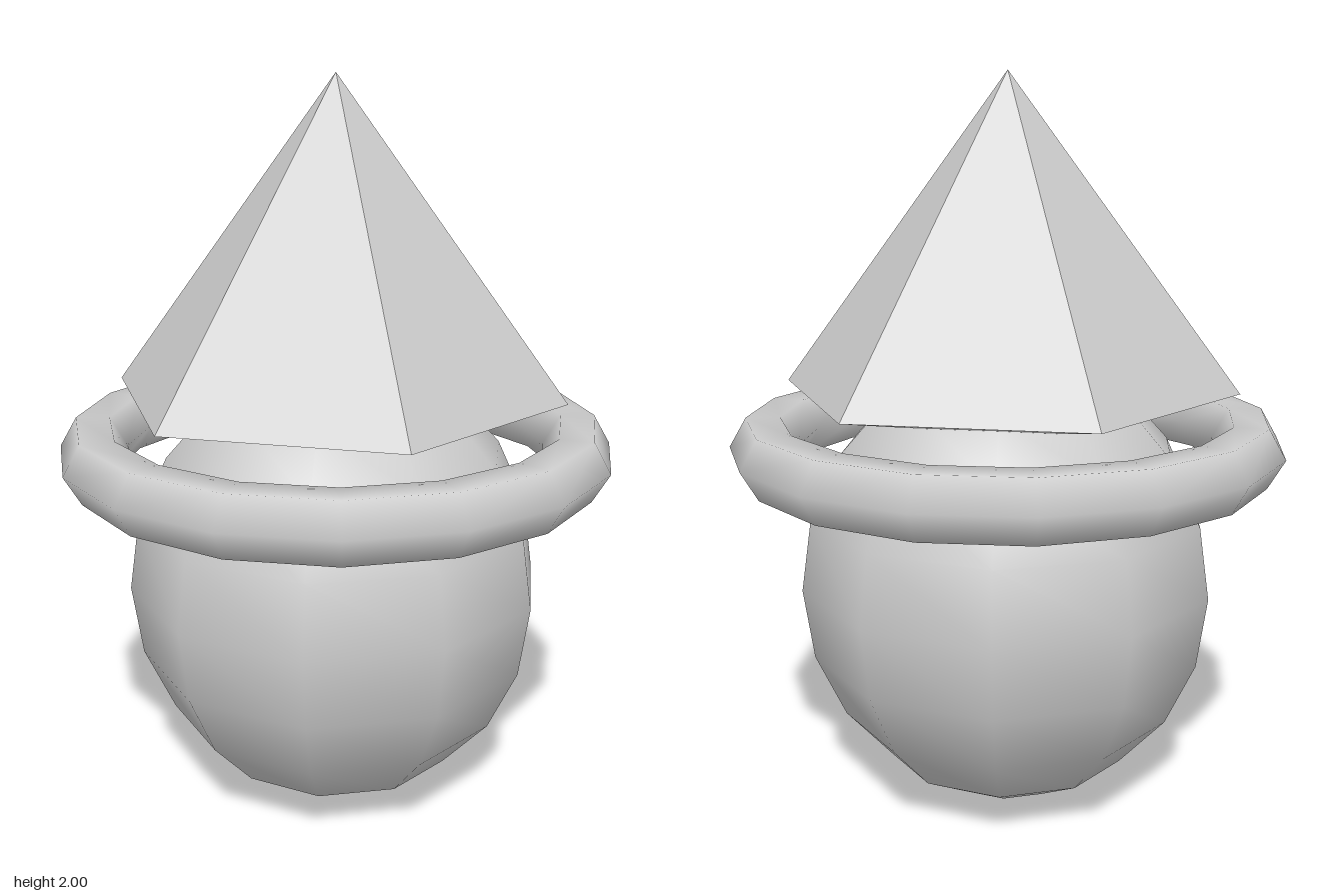
import * as THREE from 'three';

export function createModel() {
  const model = new THREE.Group();
  const smoothGrey = new THREE.MeshStandardMaterial({ color: 0xcccccc });
  smoothGrey.name = 'grey';
  // same grey, faceted for the hat
  const facetedGrey = smoothGrey.clone();
  facetedGrey.name = 'grey faceted';
  facetedGrey.flatShading = true;

  const add = (name, geometry, material, y) => {
    const mesh = new THREE.Mesh(geometry, material);
    mesh.name = name;
    mesh.position.y = y;
    model.add(mesh);
  };

  // Round body: ten-sided, slightly taller than wide
  const body = new THREE.SphereGeometry(0.575, 10, 10);
  body.rotateY(Math.PI / 2).scale(1, 0.63 / 0.575, 1);
  add('body', body, smoothGrey, 0.63);

  // Ring floating around the upper body
  const ring = new THREE.TorusGeometry(0.663, 0.092, 6, 16);
  ring.rotateX(Math.PI / 2);
  add('ring', ring, smoothGrey, 1.015);

  // Six-sided pointed hat
  const rim = 1.167;
  const hatHeight = 2 - rim;
  add('hat', new THREE.ConeGeometry(0.625, hatHeight, 6, 1, true), facetedGrey, rim + hatHeight / 2);

  // Hat underside: a shallow inverted pyramid
  const depth = 0.13;
  const underside = new THREE.ConeGeometry(0.625, depth, 6, 1, true);
  underside.rotateX(Math.PI);
  add('hatUnderside', underside, facetedGrey, rim - depth / 2);

  return model;
}
